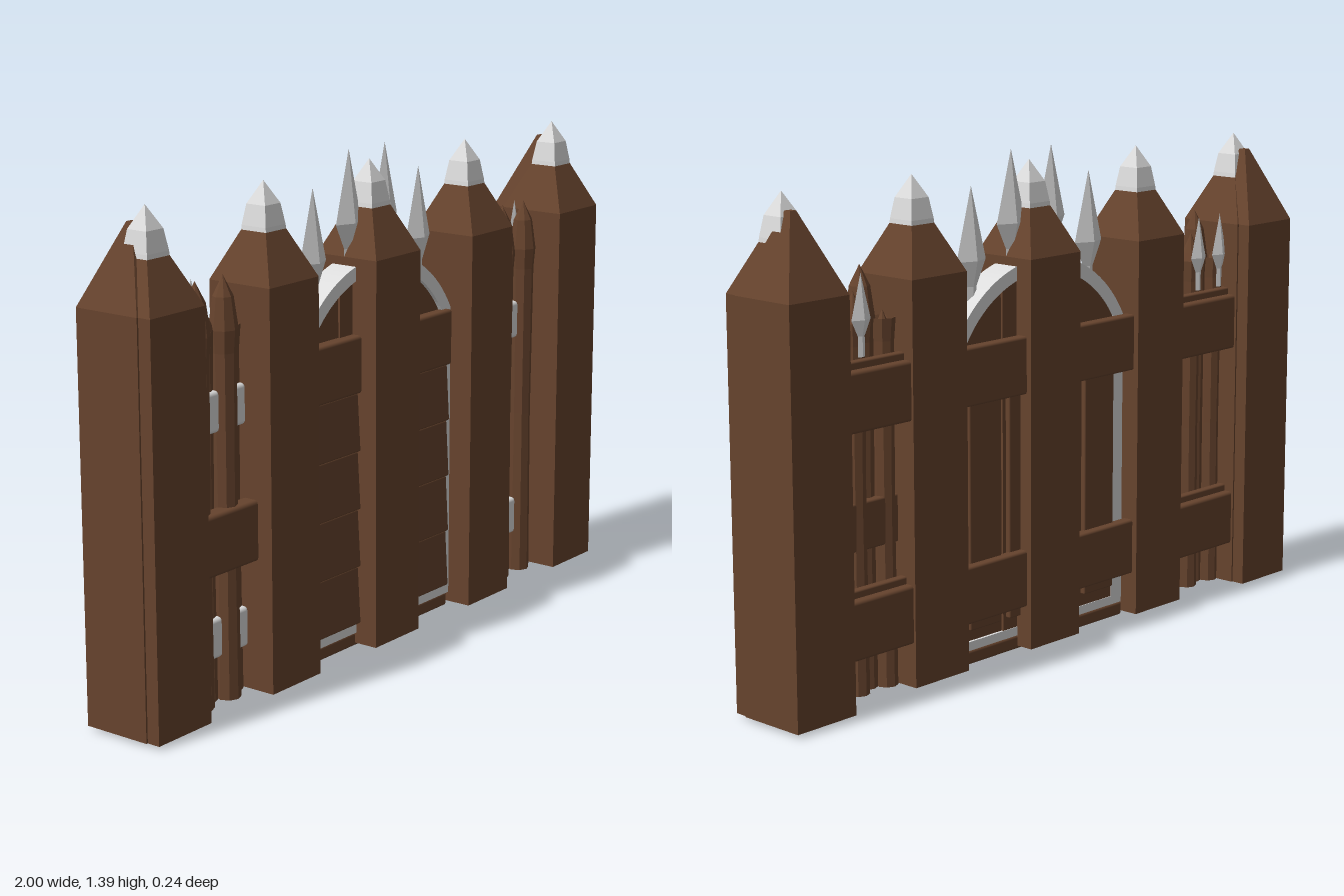
import * as THREE from 'three';
import { RoundedBoxGeometry } from 'three/addons/geometries/RoundedBoxGeometry.js';

export function createModel() {
  const root = new THREE.Group();
  const wood = new THREE.MeshStandardMaterial({ color: 0x66432d });
  const steel = new THREE.MeshStandardMaterial({ color: 0xdcdcdc });
  wood.name = 'brown wood';
  steel.name = 'pale steel';

  function add(name, geometry, material, x = 0, y = 0, z = 0) {
    const mesh = new THREE.Mesh(geometry, material);
    mesh.name = name;
    mesh.position.set(x, y, z);
    root.add(mesh);
    return mesh;
  }

  // Faceted turned solid from [radius, height] pairs
  function facet(profile, sides, phase = 0) {
    const pts = profile.map(([r, y]) => new THREE.Vector2(r, y));
    const g = new THREE.LatheGeometry(pts, sides, phase).toNonIndexed();
    g.computeVertexNormals();
    return g;
  }
  // Square solid from [half width, height] pairs
  const square = (profile) =>
    facet(profile.map(([h, y]) => [h * Math.SQRT2, y]), 4, Math.PI / 4);

  // Softened board given by its limits
  function board(name, x0, x1, y0, y1, z0, z1, material = wood) {
    const w = x1 - x0, h = y1 - y0, d = z1 - z0;
    const g = new RoundedBoxGeometry(w, h, d, 2, Math.min(w, h, d) * 0.2);
    return add(name, g, material, (x0 + x1) / 2, (y0 + y1) / 2, (z0 + z1) / 2);
  }

  // Five square posts with steel caps
  const postShape = square([[0, 0.01], [0.1, 0.01], [0.1, 1.1], [0.04, 1.23], [0, 1.23]]);
  const backPostShape = square([[0, 0.01], [0.1, 0.01], [0.1, 1.1], [0.01, 1.31], [0, 1.31]]);
  const capShape = square([[0, 1.215], [0.042, 1.215], [0.04, 1.24], [0.031, 1.295], [0, 1.355]]);
  for (const x of [-0.895, -0.447, 0, 0.447, 0.895]) {
    add('post', postShape, wood, x, 0, 0.018);
    add('postCap', capShape, steel, x, 0, 0.018);
    if (Math.abs(x) > 0.8) {
      add('backPost', backPostShape, wood, x + Math.sign(x) * 0.005, 0, -0.02);
    } else {
      add('postFoot', new THREE.BoxGeometry(0.12, 0.006, 0.12), steel, x, 0.01, 0.018);
    }
  }

  // Arched steel gate frame
  const archY = 0.7, springY = 0.89;
  function archPath(path, r, bottom) {
    const a = Math.asin((springY - archY) / r), w = r * Math.cos(a);
    path.moveTo(-w, bottom);
    path.lineTo(w, bottom);
    path.lineTo(w, springY);
    path.absarc(0, archY, r, a, Math.PI - a, false);
    path.lineTo(-w, bottom);
    return path;
  }
  const frame = archPath(new THREE.Shape(), 0.39, 0.04);
  frame.holes.push(archPath(new THREE.Path(), 0.352, 0.065));
  add('gateFrame', new THREE.ExtrudeGeometry(frame,
    { depth: 0.08, bevelEnabled: false, curveSegments: 24 }), steel, 0, 0, -0.03);

  // Upright gate planks cut to the arch
  for (let i = 0; i < 4; i++) {
    const x0 = -0.31 + i * 0.155, x1 = x0 + 0.155;
    const s = new THREE.Shape();
    s.moveTo(x0, 0.05);
    s.lineTo(x1, 0.05);
    for (let k = 0; k <= 6; k++) {
      const x = x1 + (x0 - x1) * k / 6;
      s.lineTo(x, archY + Math.sqrt(0.36 ** 2 - x * x));
    }
    const g = new THREE.ExtrudeGeometry(s, { depth: 0.06, bevelEnabled: false });
    add('gatePlank', g, wood, 0, 0, i % 2 ? -0.022 : -0.028);
    board('gateBackPlank', x0 + 0.02, x1 - 0.012, 0.1, 0.88, -0.042, -0.02);
  }

  // Overlapping gate boards, sill and back rails
  for (let i = 0; i < 4; i++) {
    const y = 0.07 + i * 0.165;
    const b = board('gateBoard', i ? -0.32 : -0.345, 0.32, y, y + 0.165, 0.03, 0.06);
    b.rotation.x = -0.06;
  }
  board('gateTopBoard', -0.345, 0.325, 0.73, 0.89, 0.025, 0.068);
  board('gateSill', -0.345, 0.34, 0, 0.04, -0.03, 0.045);
  for (const y of [0.13, 0.73]) {
    board('gateBackRail', -0.36, 0.36, y, y + 0.16, -0.066, -0.03);
  }

  // Steel spear heads above the arch
  function spear(name, x, z, tip, size) {
    const g = facet([[0, tip - 0.36 * size], [0.02 * size, tip - 0.36 * size],
      [0.02 * size, tip - 0.27 * size], [0.056 * size, tip - 0.2 * size], [0, tip]], 4);
    g.scale(1, 1, 0.42);
    g.computeVertexNormals();
    add(name, g, steel, x, 0, z);
  }
  for (const side of [-1, 1]) {
    spear('spearHead', side * 0.08, 0.01, 1.39, 1);
    spear('spearHead', side * 0.235, 0.01, 1.305, 1);
  }

  // Side fences: round pointed stakes, steel clamps and rails
  function stake(name, x, z, top, r) {
    add(name, facet([[0, 0.01], [r, 0.01], [r * 0.9, 0.5], [r, 0.94], [r * 1.15, 1.0],
      [r * 0.8, top - 0.055], [0, top]], 8), wood, x, 0, z);
  }
  for (const side of [-1, 1]) {
    for (const x of [0.625, 0.732]) stake('frontStake', side * x, 0.03, 1.14, 0.034);
    [0.575, 0.678, 0.778].forEach((x, i) => {
      stake('rearStake', side * x, 0, 1.02 + (i === 1 ? 0.06 : 0), 0.03);
      if (side > 0 && i === 2) return;
      for (const y of [0.13, 0.735]) {
        board('stakeClamp', side * x - 0.028, side * x + 0.028, y, y + 0.11, -0.02, 0.038, steel);
      }
    });
    for (const x of [0.678, 0.775]) spear('fenceSpike', side * x, -0.03, 1.13, 0.6);
    const a = side < 0 ? -0.82 : 0.53, b = side < 0 ? -0.53 : 0.82;
    for (const y of [0.13, 0.73]) {
      board('fenceBackRail', a, b, y, y + 0.16, -0.075, -0.03);
      board('fenceBackPlate', a, b, y + 0.02, y + 0.18, -0.05, -0.025);
    }
  }
  board('fenceMiddleRail', -0.82, -0.53, 0.37, 0.535, 0.02, 0.072);
  board('fenceMiddleRail', 0.53, 0.82, 0.4, 0.53, -0.02, 0.01);

  return root;
}
